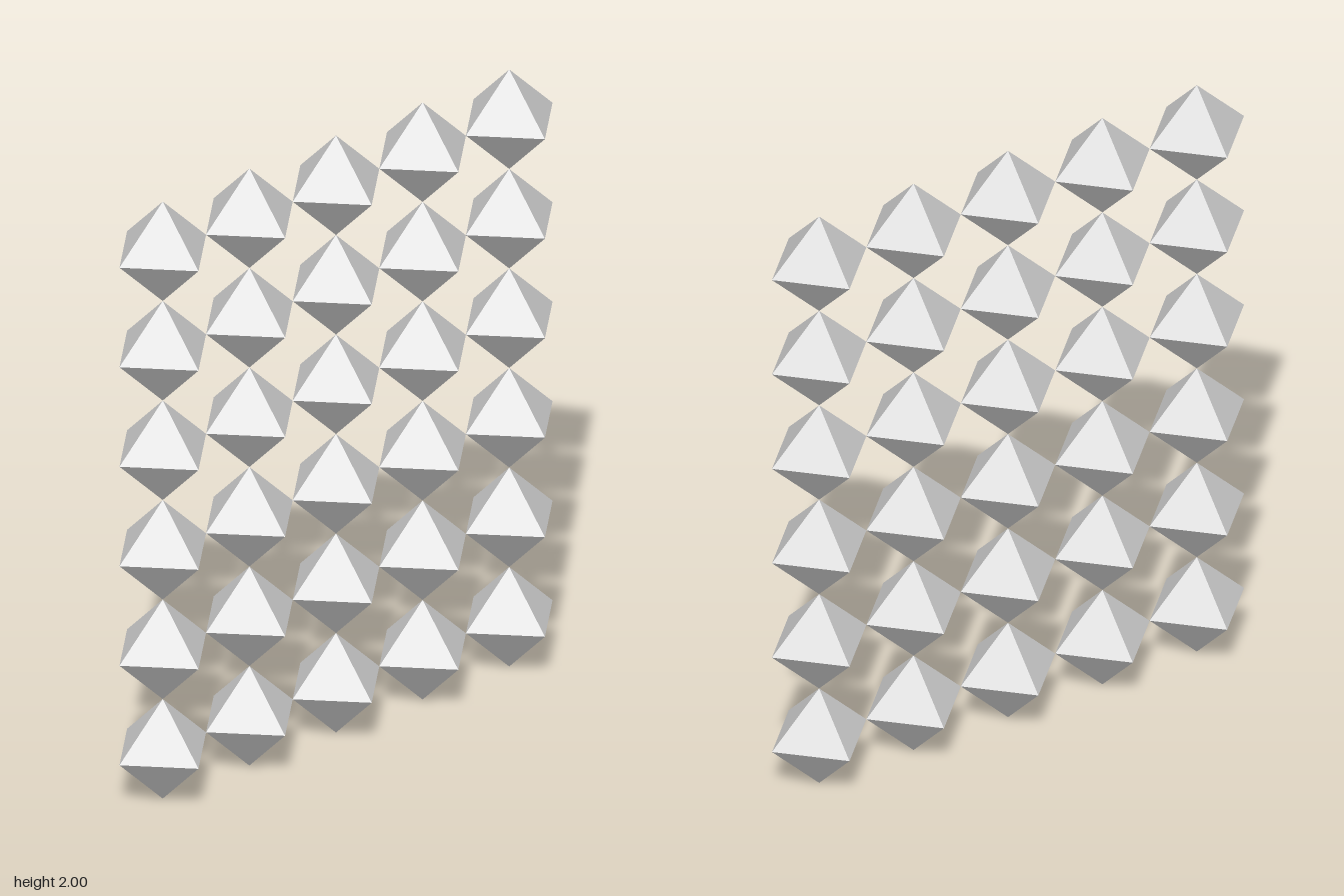
import * as THREE from 'three';

const COLUMNS = 5;
const ROWS = 6;
const RADIUS = 1 / ROWS / 2 * 2; // tip to tip, six octahedra stack to 2 units

export function createModel() {
  const model = new THREE.Group();
  model.name = 'octahedronLattice';

  const geometry = new THREE.OctahedronGeometry(RADIUS);
  const material = new THREE.MeshStandardMaterial({ color: 0xcccccc, flatShading: true });

  // Upright wall of octahedra, touching at their tips
  for (let row = 0; row < ROWS; row++) {
    const rowGroup = new THREE.Group();
    rowGroup.name = `row${row + 1}`;
    rowGroup.position.y = RADIUS * (2 * row + 1);
    for (let col = 0; col < COLUMNS; col++) {
      const octahedron = new THREE.Mesh(geometry, material);
      octahedron.name = `octahedron${col + 1}`;
      octahedron.position.x = (col - (COLUMNS - 1) / 2) * 2 * RADIUS;
      rowGroup.add(octahedron);
    }
    model.add(rowGroup);
  }
  return model;
}
